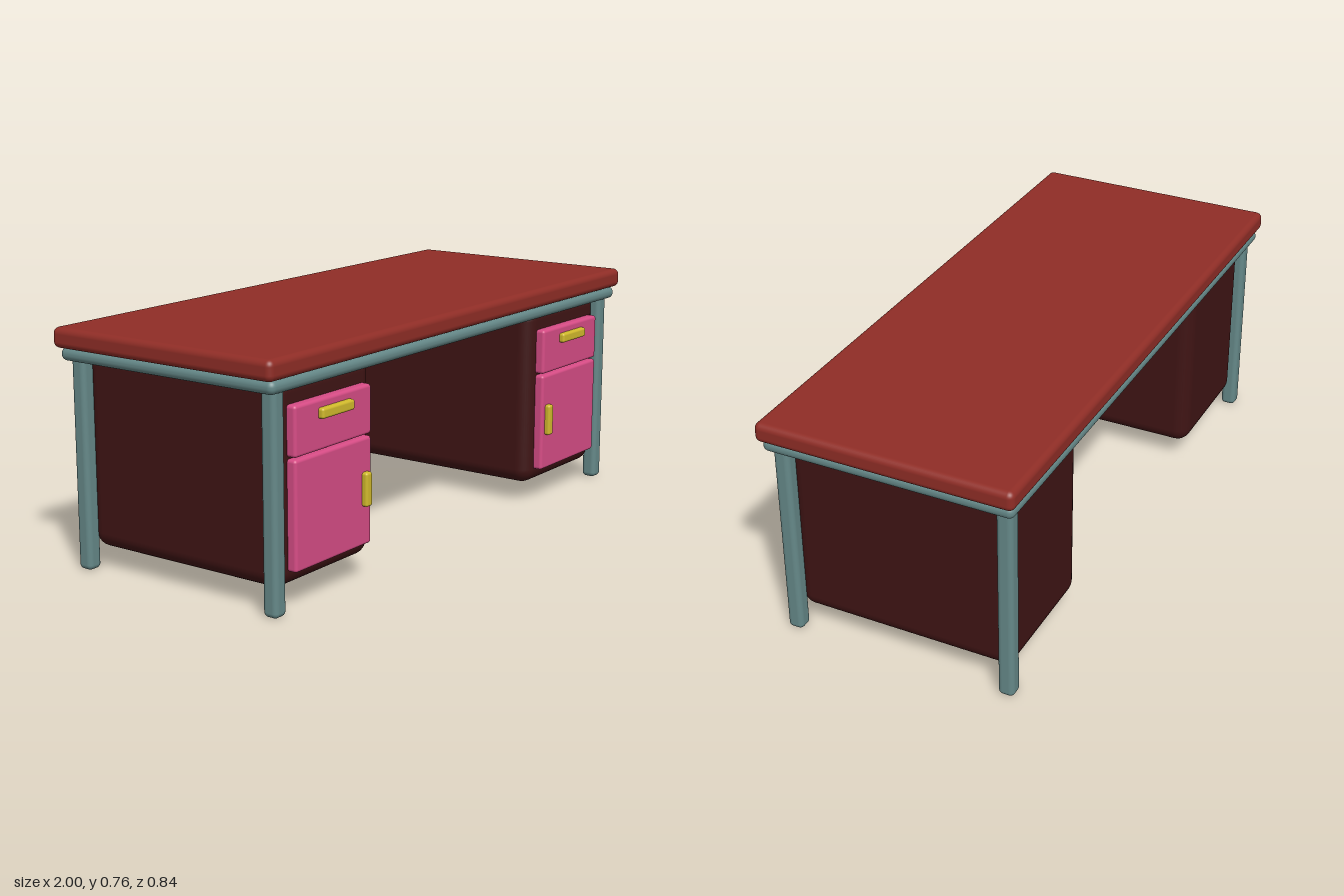
import * as THREE from 'three';
import { RoundedBoxGeometry } from 'three/addons/geometries/RoundedBoxGeometry.js';

const paint = (color) => new THREE.MeshStandardMaterial({ color });
const RED = paint(0x8f2d26), TEAL = paint(0x658888), DARK = paint(0x3f1414);
const PINK = paint(0xd64c85), YELLOW = paint(0xd0b92c);

// Rounded block given by its [min, max] range on each axis
function block(name, [x0, x1], [y0, y1], [z0, z1], radius, material) {
  const geometry = new RoundedBoxGeometry(x1 - x0, y1 - y0, z1 - z0, 4, radius);
  const mesh = new THREE.Mesh(geometry, material);
  mesh.position.set((x0 + x1) / 2, (y0 + y1) / 2, (z0 + z1) / 2);
  mesh.name = name;
  return mesh;
}

// Cabinet with drawer and door; the door handle sits towards the knee space
function pedestal(side) {
  const group = new THREE.Group();
  group.name = side > 0 ? 'leftPedestal' : 'rightPedestal';
  const span = (a, b) => (side > 0 ? [a, b] : [-b, -a]);
  group.add(
    block('cabinet', span(0.457, 0.915), [0.067, 0.69], [-0.37, 0.37], 0.05, DARK),
    block('drawerFront', span(0.502, 0.868), [0.458, 0.61], [0.355, 0.4], 0.01, PINK),
    block('doorFront', span(0.502, 0.868), [0.118, 0.452], [0.355, 0.4], 0.01, PINK),
    block('drawerHandle', span(0.607, 0.761), [0.553, 0.585], [0.385, 0.418], 0.008, YELLOW),
    block('doorHandle', span(0.52, 0.55), [0.241, 0.347], [0.385, 0.418], 0.008, YELLOW),
  );
  return group;
}

export function createModel() {
  const desk = new THREE.Group();
  desk.name = 'desk';

  // Worktop on a thin supporting slab
  desk.add(block('worktop', [-1, 1], [0.7, 0.764], [-0.42, 0.42], 0.02, RED));
  desk.add(block('frame', [-0.98, 0.98], [0.659, 0.701], [-0.41, 0.41], 0.02, TEAL));

  for (const side of [-1, 1]) {
    desk.add(pedestal(side));
    // Front and back legs
    for (const end of [-1, 1]) {
      const x = side * 0.926, z = end * 0.366, h = 0.026;
      desk.add(block(end > 0 ? 'frontLeg' : 'backLeg',
        [x - h, x + h], [0, 0.69], [z - h, z + h], 0.016, TEAL));
    }
  }
  return desk;
}
